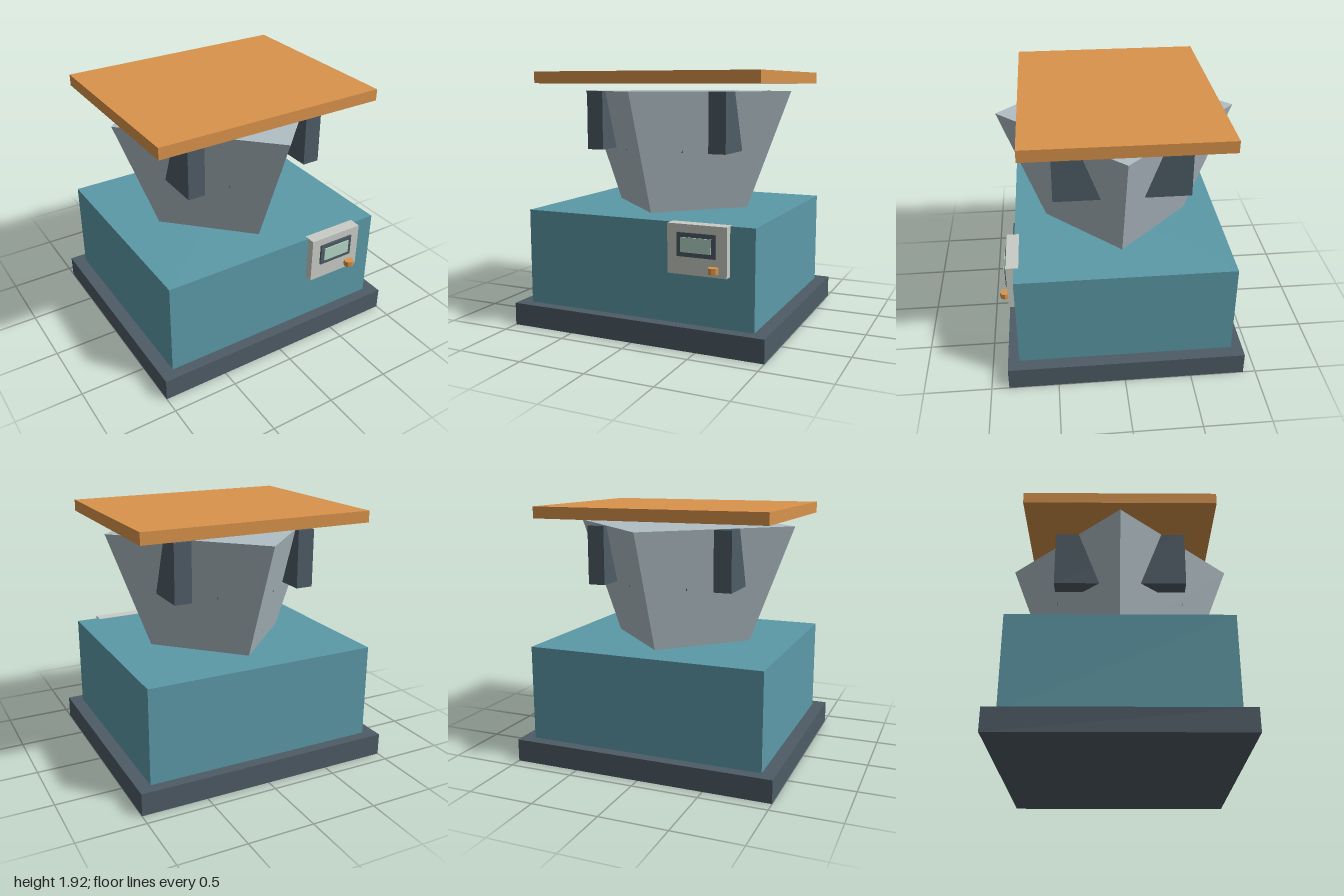
import * as THREE from 'three';

const mat = (color) => new THREE.MeshStandardMaterial({ color, flatShading: true });

export function createModel() {
  const model = new THREE.Group();
  const slate = mat(0x4e5c66), teal = mat(0x5c9aa8), orange = mat(0xd9934a);
  const steel = mat(0xb0bec5), cream = mat(0xc9ccc6), glass = mat(0xb5d8c8);
  const ZC = -0.0175; // depth centre of the main body

  // Box given by its limits on each axis
  const box = (name, material, [x0, x1], [y0, y1], [z0, z1]) => {
    const mesh = new THREE.Mesh(new THREE.BoxGeometry(x1 - x0, y1 - y0, z1 - z0), material);
    mesh.position.set((x0 + x1) / 2, (y0 + y1) / 2, (z0 + z1) / 2);
    mesh.name = name;
    model.add(mesh);
    return mesh;
  };
  const prism = (name, material, rTop, rBottom, height, sides, x, y, z) => {
    const mesh = new THREE.Mesh(new THREE.CylinderGeometry(rTop, rBottom, height, sides), material);
    mesh.position.set(x, y, z);
    mesh.name = name;
    model.add(mesh);
  };

  // Plinth and housing
  box('base', slate, [-1, 1], [0, 0.17], [-0.905, 0.87]);
  box('housing', teal, [-0.9, 0.9], [0.17, 0.89], [-0.82, 0.785]);

  // Four-sided hopper, corners on the axes
  prism('hopper', steel, 0.8875, 0.555, 0.89, 4, 0, 1.335, ZC);

  // Side brackets passing through the hopper, and the inner block whose corners just show
  for (const s of [-1, 1]) {
    const bracket = box('bracket', slate, [-0.0665, 0.0665], [1.338, 1.779], [ZC - 0.5, ZC + 0.5]);
    bracket.position.x = s * 0.499;
  }
  box('innerBlock', slate, [-0.231, 0.231], [1.338, 1.6], [ZC - 0.5, ZC + 0.5]);

  // Floating lid
  box('lid', orange, [-0.89, 0.89], [1.838, 1.925], [-0.74, 0.7]);

  // Control panel with screen and knob
  box('controlPanel', cream, [0.28, 0.72], [0.54, 0.892], [0.75, 0.843]);
  box('screenFrame', slate, [0.355, 0.642], [0.668, 0.835], [0.835, 0.856]);
  box('screen', glass, [0.385, 0.612], [0.7, 0.804], [0.845, 0.864]);
  prism('knob', orange, 0.038, 0.038, 0.042, 8, 0.631, 0.594, 0.867);

  return model;
}
